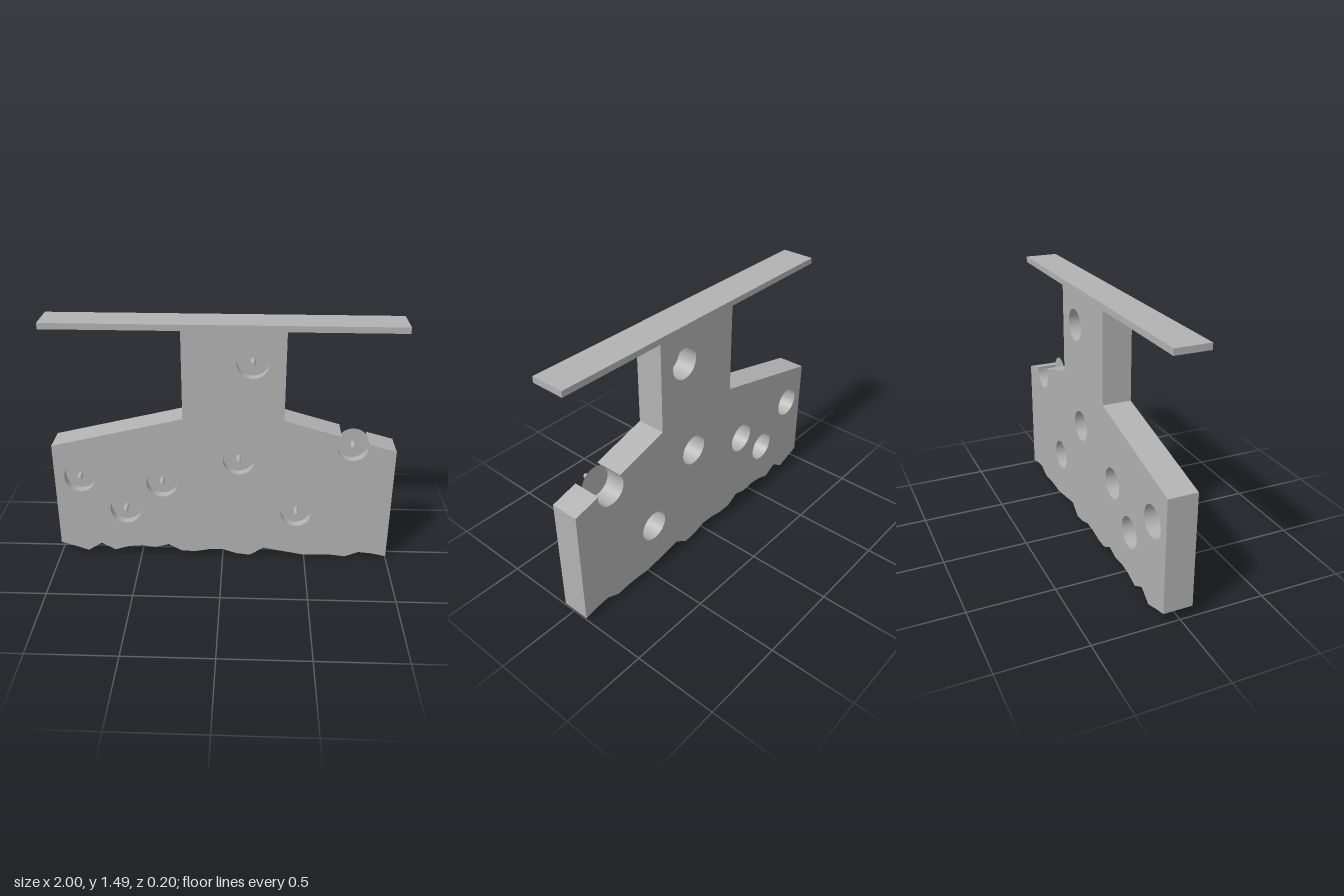
import * as THREE from 'three';

export function createModel() {
  const model = new THREE.Group();
  const grey = new THREE.MeshStandardMaterial({ color: 0xb2b2b2 });
  grey.name = 'plain grey';
  grey.side = THREE.DoubleSide;

  const R = 0.092, BACK = -0.1, FRONT = 0.07, DISC_Z = 0.02, PIN_END = 0.095;
  const holes = [[0.167, 1.265], [0.093, 0.66], [-0.362, 0.5], [-0.85, 0.527], [-0.587, 0.311], [0.44, 0.311]];
  const notch = [0.75, 0.764];

  const add = (geometry, name, parent = model) => {
    const mesh = new THREE.Mesh(geometry, grey);
    mesh.name = name;
    parent.add(mesh);
    return mesh;
  };

  // Wall outline: ragged bottom edge at even steps, sloping shoulders, narrow stem
  const ragged = [0.066, 0.04, 0.01, 0.066, 0.018, 0.045, 0.054, 0.043, 0.066, 0.02, 0.02, 0.035, 0.038,
    0.01, 0, 0.056, 0.04, 0.025, 0.01, 0.014, 0.014, 0.004, 0.038, 0.03, 0.011];
  const outline = new THREE.Shape();
  ragged.forEach((y, i) => (i ? outline.lineTo(-1 + i / 12, y) : outline.moveTo(-1, y)));
  outline.lineTo(1, 0.735);
  // Open notch where one hole breaks through the right shoulder
  outline.absarc(notch[0], notch[1], R, 0.165, 2.421, true);
  outline.lineTo(0.35, 0.92);
  outline.lineTo(0.35, 1.455);
  outline.lineTo(-0.23, 1.455);
  outline.lineTo(-0.23, 0.92);
  outline.lineTo(-1, 0.735);
  outline.closePath();
  for (const [x, y] of holes) {
    outline.holes.push(new THREE.Path().absarc(x, y, R, 0, Math.PI * 2, true));
  }
  const wall = new THREE.ExtrudeGeometry(outline, { depth: FRONT - BACK, bevelEnabled: false, curveSegments: 32 });
  add(wall, 'wallPlate').position.z = BACK;

  // Flat bar across the top
  add(new THREE.BoxGeometry(2, 0.035, 0.2), 'topBar').position.y = 1.4725;

  // Thin disc and pin in every hole
  const discGeometry = new THREE.CircleGeometry(R, 64);
  const pinGeometry = new THREE.CylinderGeometry(0.014, 0.014, PIN_END - DISC_Z, 24).rotateX(Math.PI / 2);
  for (const [x, y] of [...holes, notch]) {
    const fitting = new THREE.Group();
    fitting.name = 'holeFitting';
    fitting.position.set(x, y, DISC_Z);
    add(discGeometry, 'disc', fitting);
    add(pinGeometry, 'pin', fitting).position.z = (PIN_END - DISC_Z) / 2;
    model.add(fitting);
  }
  return model;
}
